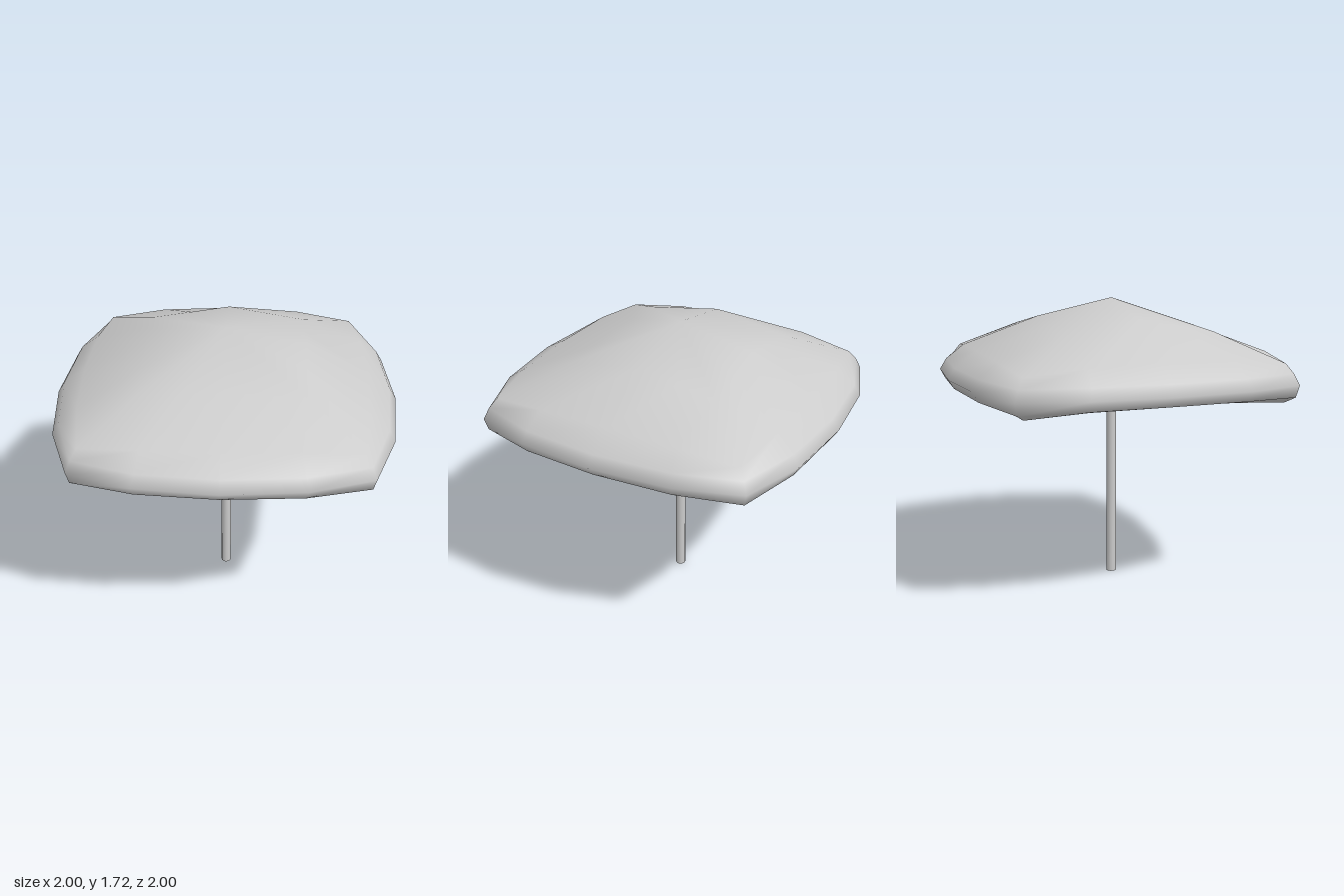
import * as THREE from 'three';
import { mergeVertices } from 'three/addons/utils/BufferGeometryUtils.js';

const material = new THREE.MeshStandardMaterial({ color: 0xcccccc });

// Canopy rings from the peak, over the rim, to the hollow underside:
// [side reach, corner reach, height at sides, height at corners, bulge of the sides, drop at the front]
const RINGS = [
  [0, 0, 1.715, 1.715, 0, 0],
  [0.46, 0.46, 1.62, 1.54, 0, 0.06],
  [0.83, 0.765, 1.43, 1.38, 1, 0.02],
  [0.96, 0.80, 1.335, 1.325, 1, 0],
  [1.0, 0.825, 1.27, 1.26, 1, 0],
  [0.965, 0.81, 1.215, 1.19, 1, 0],
  [0.84, 0.765, 1.195, 1.158, 1, 0],
  [0.45, 0.42, 1.34, 1.28, 0, 0.04],
  [0, 0, 1.46, 1.46, 0, 0],
];

// Point i of 16 round a square ring; i = 2 is the middle of the front
function ringPoint([side, corner, ySide, yCorner, bulge, drop], i) {
  const quarter = Math.floor(i / 4);
  const step = (i % 4) - 2; // -2 and 2 are corners, 0 is the middle of a side
  const t = Math.abs(step) / 2;
  const bend = bulge ? t * t : t;
  const along = corner * Math.sign(step) * (t === 1 ? 1 : 0.5 + 0.06 * bulge);
  const out = side + (corner - side) * bend;
  const y = ySide + (yCorner - ySide) * bend - (quarter === 0 ? drop * (1 - t) : 0);
  const p = new THREE.Vector3(along, y, out);
  return p.applyAxisAngle(new THREE.Vector3(0, 1, 0), (quarter * Math.PI) / 2);
}

function canopyGeometry() {
  const positions = [];
  const index = [];
  const n = 16;
  const last = RINGS.length - 1;
  RINGS.forEach((ring, r) => {
    if (r === 0 || r === last) {
      positions.push(0, ring[2], 0);
      return;
    }
    for (let i = 0; i < n; i++) positions.push(...ringPoint(ring, i).toArray());
  });
  const at = (r, i) => 1 + (r - 1) * n + (i % n);
  const bottom = 1 + (last - 1) * n;
  for (let i = 0; i < n; i++) {
    index.push(0, at(1, i), at(1, i + 1));
    for (let r = 1; r < last - 1; r++) {
      const a = at(r, i), b = at(r, i + 1), c = at(r + 1, i), d = at(r + 1, i + 1);
      index.push(a, c, b, b, c, d);
    }
    index.push(at(last - 1, i), bottom, at(last - 1, i + 1));
  }
  const geometry = new THREE.BufferGeometry();
  geometry.setAttribute('position', new THREE.Float32BufferAttribute(positions, 3));
  geometry.setIndex(index);
  geometry.computeVertexNormals();
  return geometry;
}

// Cylinder shaded smoothly over its ends
function poleGeometry(radius, height) {
  const cylinder = new THREE.CylinderGeometry(radius, radius, height, 12);
  cylinder.deleteAttribute('normal');
  cylinder.deleteAttribute('uv');
  const geometry = mergeVertices(cylinder);
  geometry.computeVertexNormals();
  return geometry;
}

export function createModel() {
  const model = new THREE.Group();
  model.name = 'parasol';

  const canopy = new THREE.Mesh(canopyGeometry(), material);
  canopy.name = 'canopy';
  model.add(canopy);

  // Pole running up into the canopy
  const height = 1.52;
  const pole = new THREE.Mesh(poleGeometry(0.03, height), material);
  pole.name = 'pole';
  pole.position.y = height / 2;
  model.add(pole);

  return model;
}
